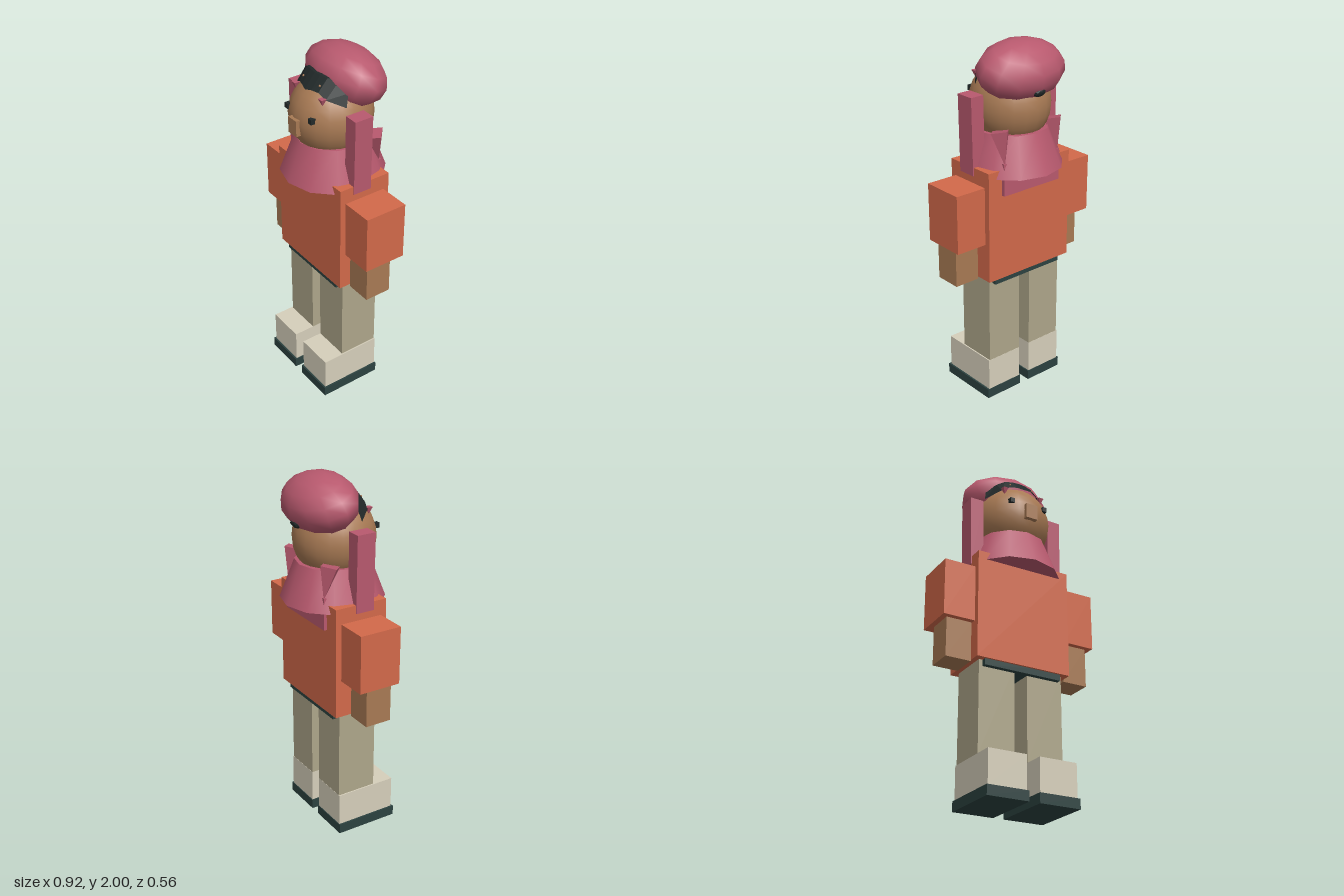
import * as THREE from 'three';

const mat = (color, extra = {}) => new THREE.MeshStandardMaterial({ color, ...extra });
const M = {
  orange: mat(0xd2694a),
  pink: mat(0xb8596e),
  skin: mat(0xa87a54),
  trousers: mat(0xaea68a),
  shoe: mat(0xd6cfbb),
  teal: mat(0x2c4240),
  hair: mat(0x222a2a, { side: THREE.DoubleSide, flatShading: true }),
  knot: mat(0xb8596e, { flatShading: true }),
};

export function createModel() {
  const model = new THREE.Group();
  model.name = 'figure';

  const add = (name, geometry, material, x = 0, y = 0, z = 0) => {
    const mesh = new THREE.Mesh(geometry, material);
    mesh.name = name;
    mesh.position.set(x, y, z);
    model.add(mesh);
    return mesh;
  };
  // Box given by its limits on each axis
  const box = (name, material, [x0, x1], [y0, y1], [z0, z1]) =>
    add(name, new THREE.BoxGeometry(x1 - x0, y1 - y0, z1 - z0), material,
      (x0 + x1) / 2, (y0 + y1) / 2, (z0 + z1) / 2);
  // Same box on the left (+x) and right (-x)
  const pair = (name, material, [x0, x1], ys, zs) => [
    box(name + 'Left', material, [x0, x1], ys, zs),
    box(name + 'Right', material, [-x1, -x0], ys, zs),
  ];

  // Legs and shoes
  pair('sole', M.teal, [0.03, 0.265], [0, 0.055], [-0.117, 0.245]);
  pair('shoe', M.shoe, [0.037, 0.255], [0.055, 0.24], [-0.113, 0.235]);
  pair('leg', M.trousers, [0.037, 0.248], [0.24, 0.75], [-0.112, 0.115]);

  // Body and arms
  box('belt', M.teal, [-0.226, 0.226], [0.715, 0.77], [-0.138, 0.142]);
  box('torso', M.orange, [-0.278, 0.278], [0.75, 1.365], [-0.153, 0.153]);
  pair('sleeve', M.orange, [0.278, 0.458], [0.96, 1.28], [-0.12, 0.12]);
  pair('forearm', M.skin, [0.282, 0.427], [0.74, 0.96], [-0.06, 0.09]);

  // Head and face
  add('head', new THREE.SphereGeometry(1, 20, 14), M.skin, 0, 1.655, 0.01).scale.set(0.213, 0.222, 0.224);
  box('nose', M.skin, [-0.035, 0.035], [1.597, 1.685], [0.19, 0.248]);
  pair('eye', M.hair, [0.09, 0.116], [1.69, 1.718], [0.17, 0.214]);

  // Scarf around the neck with a flat tail on the back
  add('scarf', new THREE.CylinderGeometry(0.2, 0.28, 0.21, 12), M.pink, 0, 1.427, 0);
  box('scarfTail', M.pink, [-0.19, 0.19], [1.225, 1.4], [-0.17, -0.14]);

  // Hanging side ribbons, leaning slightly outwards
  pair('ribbon', M.pink, [0.208, 0.286], [1.32, 1.738], [-0.034, 0.073])
    .forEach((r, i) => { r.rotation.z = i ? 0.015 : -0.015; });

  for (const s of [1, -1]) {
    // Pointed knots behind the neck
    const knot = add('knot', new THREE.ConeGeometry(0.06, 0.18, 4), M.knot, s * 0.18, 1.475, -0.145);
    knot.rotation.set(Math.PI + 0.22, 0, 0);

    // Small pointed clips and pins on the fringe
    const clip = add('hairClip', new THREE.ConeGeometry(0.022, 0.04, 4), M.knot, s * 0.115, 1.793, 0.145);
    clip.rotation.set(Math.PI, Math.PI / 4, 0);
    add('hairPin', new THREE.SphereGeometry(0.006, 8, 6), M.skin, s * 0.07, 1.86, 0.128);
  }

  // Scalloped fringe: three rows from the brow back under the cap
  const half = [
    [[0, 1.825, 0.168], [0, 1.9, 0.108], [0, 1.91, -0.02]],
    [[0.04, 1.833, 0.158], [0.04, 1.9, 0.104], [0.04, 1.91, -0.02]],
    [[0.08, 1.831, 0.145], [0.085, 1.896, 0.094], [0.085, 1.9, -0.02]],
    [[0.125, 1.805, 0.132], [0.13, 1.872, 0.074], [0.13, 1.88, -0.03]],
    [[0.192, 1.768, 0.055], [0.178, 1.836, 0.035], [0.175, 1.83, -0.04]],
  ];
  const columns = [
    ...half.slice(1).reverse().map(c => c.map(([x, y, z]) => [-x, y, z])),
    ...half,
  ];
  const index = [];
  for (let i = 0; i < columns.length - 1; i++) {
    for (let j = 0; j < 2; j++) {
      const a = i * 3 + j, b = a + 3;
      index.push(a, b, b + 1, a, b + 1, a + 1);
    }
  }
  const fringe = new THREE.BufferGeometry();
  fringe.setAttribute('position', new THREE.Float32BufferAttribute(columns.flat(2), 3));
  fringe.setIndex(index);
  fringe.computeVertexNormals();
  add('fringe', fringe, M.hair);

  // Soft cap tilted towards the back, with a dark patch behind
  const cap = add('cap', new THREE.SphereGeometry(1, 12, 8), M.pink, 0, 1.846, -0.077);
  cap.scale.set(0.262, 0.15, 0.182);
  cap.rotation.x = -0.35;
  const patch = add('capPatch', new THREE.SphereGeometry(1, 8, 6), M.hair, 0, 1.75, -0.222);
  patch.scale.set(0.038, 0.024, 0.014);
  patch.rotation.x = -0.6;

  return model;
}
